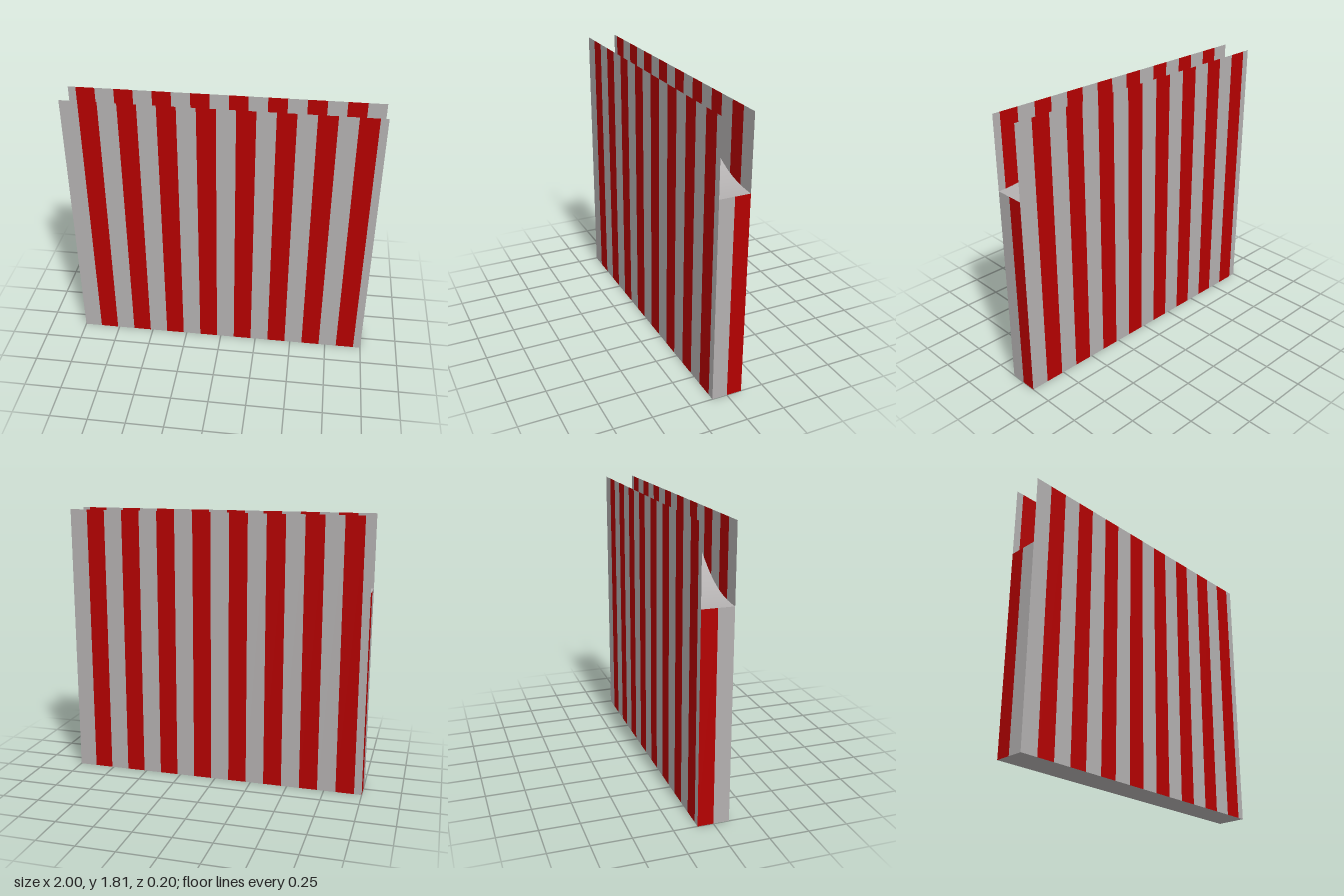
import * as THREE from 'three';

const W = 1, D = 0.1, H = 1.81;          // half width, half depth, sheet height
const SIDE_H = 1.335, PEAK_H = 1.64, FLAT = 0.2; // end height, middle height, half of the flat middle
const STRIPE = 0.1222, FIRST = 0.1172;   // stripe width, width of the first stripe

const grey = new THREE.MeshStandardMaterial({ color: 0xb3b0b0, side: THREE.DoubleSide });
grey.name = 'warm grey';
const red = new THREE.MeshStandardMaterial({ color: 0xb40000, side: THREE.DoubleSide });
red.name = 'deep red';

// Upright rectangle standing on y = 0
function panel(name, width, height, material, x, z, turn) {
  const mesh = new THREE.Mesh(new THREE.PlaneGeometry(width, height), material);
  mesh.name = name;
  mesh.position.set(x, height / 2, z);
  mesh.rotation.y = turn;
  return mesh;
}

// Tall sheet of alternating grey and red stripes
function stripedSheet(name) {
  const sheet = new THREE.Group();
  sheet.name = name;
  for (let i = 0, x = -W; x < W - 0.001; i++) {
    const width = i ? Math.min(STRIPE, W - x) : FIRST;
    sheet.add(panel(i % 2 ? 'redStripe' : 'greyStripe', width, H, i % 2 ? red : grey, x + width / 2, D, 0));
    x += width;
  }
  return sheet;
}

// Shoulder that rises in an S curve from the end to the flat middle
function shoulder(name, side) {
  const curve = new THREE.CubicBezierCurve(
    new THREE.Vector2(W, SIDE_H), new THREE.Vector2(0.55, SIDE_H),
    new THREE.Vector2(0.5, PEAK_H), new THREE.Vector2(FLAT, PEAK_H));
  const steps = 24;
  const geo = new THREE.PlaneGeometry(1, 2 * D, steps, 1);
  geo.rotateX(-Math.PI / 2);
  const p = geo.attributes.position;
  for (let i = 0; i < p.count; i++) {
    const t = p.getX(i) + 0.5;
    const point = curve.getPoint(side > 0 ? 1 - t : t);
    p.setXY(i, side * point.x, point.y);
  }
  geo.computeVertexNormals();
  const mesh = new THREE.Mesh(geo, grey);
  mesh.name = name;
  return mesh;
}

// Flat rectangle facing up or down
function flat(name, width, material, y, turn) {
  const mesh = new THREE.Mesh(new THREE.PlaneGeometry(width, 2 * D), material);
  mesh.name = name;
  mesh.position.y = y;
  mesh.rotation.x = turn;
  return mesh;
}

export function createModel() {
  const bag = new THREE.Group();
  bag.name = 'stripedBag';

  // Front and back sheets; the back is the front turned half round
  const front = stripedSheet('frontSheet');
  const back = stripedSheet('backSheet');
  back.rotation.y = Math.PI;
  bag.add(front, back);

  // Ends: grey front half, red back half
  for (const [label, s] of [['left', 1], ['right', -1]]) {
    bag.add(panel(label + 'EndGrey', D, SIDE_H, grey, s * W, D / 2, s * Math.PI / 2));
    bag.add(panel(label + 'EndRed', D, SIDE_H, red, s * W, -D / 2, s * Math.PI / 2));
    bag.add(shoulder(label + 'Shoulder', s));
  }

  // Flat middle of the top, and the bottom
  bag.add(flat('topMiddle', 2 * FLAT, red, PEAK_H, -Math.PI / 2));
  bag.add(flat('bottom', 2 * W, grey, 0, Math.PI / 2));
  return bag;
}
